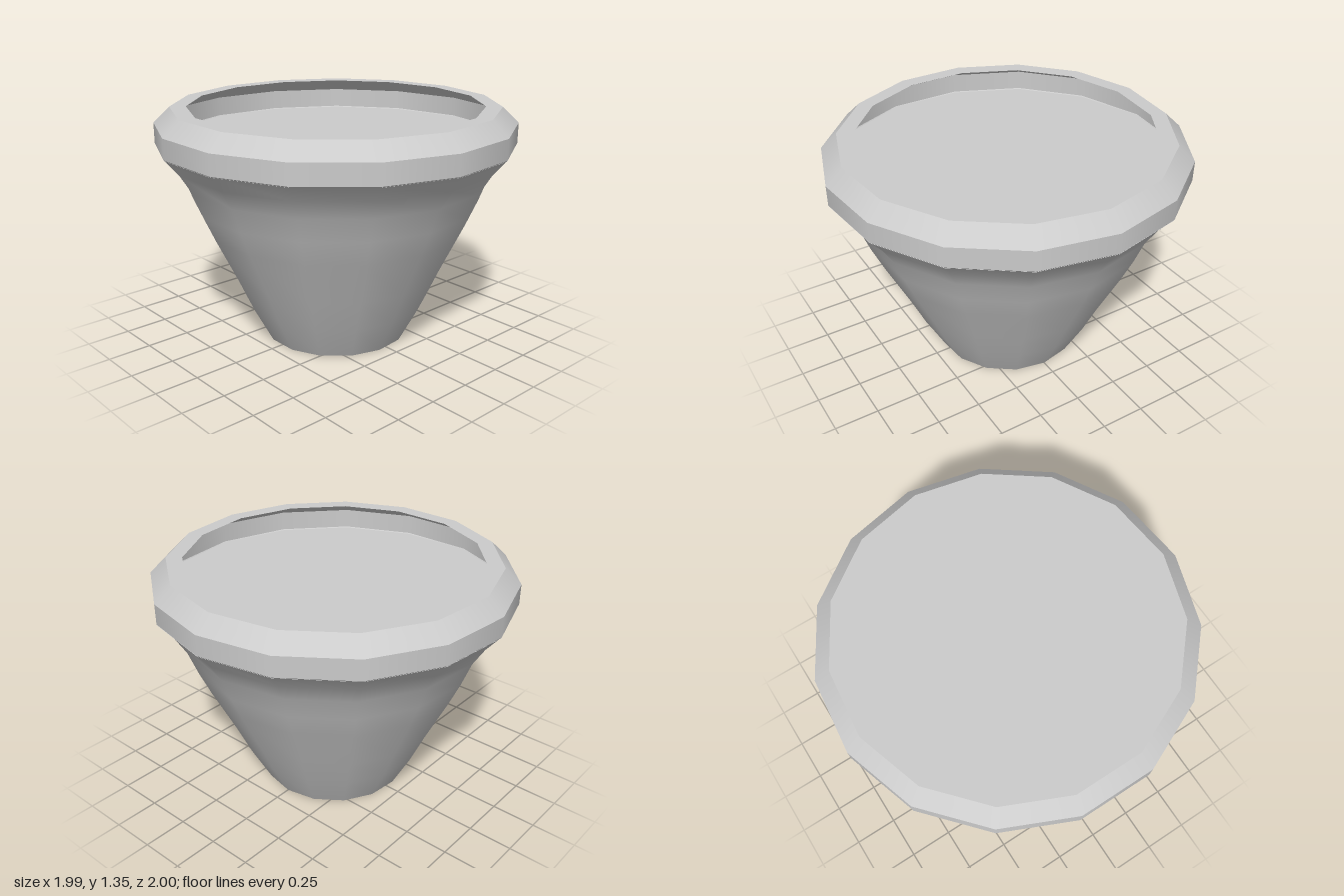
import * as THREE from 'three';

const SIDES = 15;

export function createModel() {
  const model = new THREE.Group();
  const grey = new THREE.MeshStandardMaterial({ color: 0xcccccc, side: THREE.DoubleSide });

  const add = (name, geometry, y = 0) => {
    const mesh = new THREE.Mesh(geometry, grey);
    mesh.name = name;
    mesh.position.set(-0.011, y, 0); // the odd-sided outline is centred by its bounds
    model.add(mesh);
  };
  // Band of revolution, smooth around, with one corner on +x
  const band = (name, points) => add(name, new THREE.LatheGeometry(
    points.map(([r, y]) => new THREE.Vector2(r, y)), SIDES, Math.PI / 2));
  // Flat disc facing up (or down)
  const disc = (name, r, y, sides = SIDES, up = true) => add(name,
    new THREE.CircleGeometry(r, sides).rotateX(up ? -Math.PI / 2 : Math.PI / 2), y);

  // Flared pot body
  band('potBody', [[0.42, 0], [0.53, 0.207], [0.617, 0.4], [0.745, 0.665],
    [0.809, 0.81], [0.861, 0.947], [0.926, 1.053], [1.005, 1.147]]);
  disc('potBase', 0.42, 0, SIDES, false);

  // Rim: upright band, chamfer and flat lip over a hollow inside
  band('rimBand', [[1.005, 1.147], [1.005, 1.26]]);
  band('rimChamfer', [[1.005, 1.26], [0.915, 1.346]]);
  band('rimLip', [[0.915, 1.346], [0.825, 1.346]]);

  // Soil surface with a small round spot at the centre
  disc('soil', 1.003, 1.142);
  disc('soilCentre', 0.067, 1.144, 32);

  return model;
}
